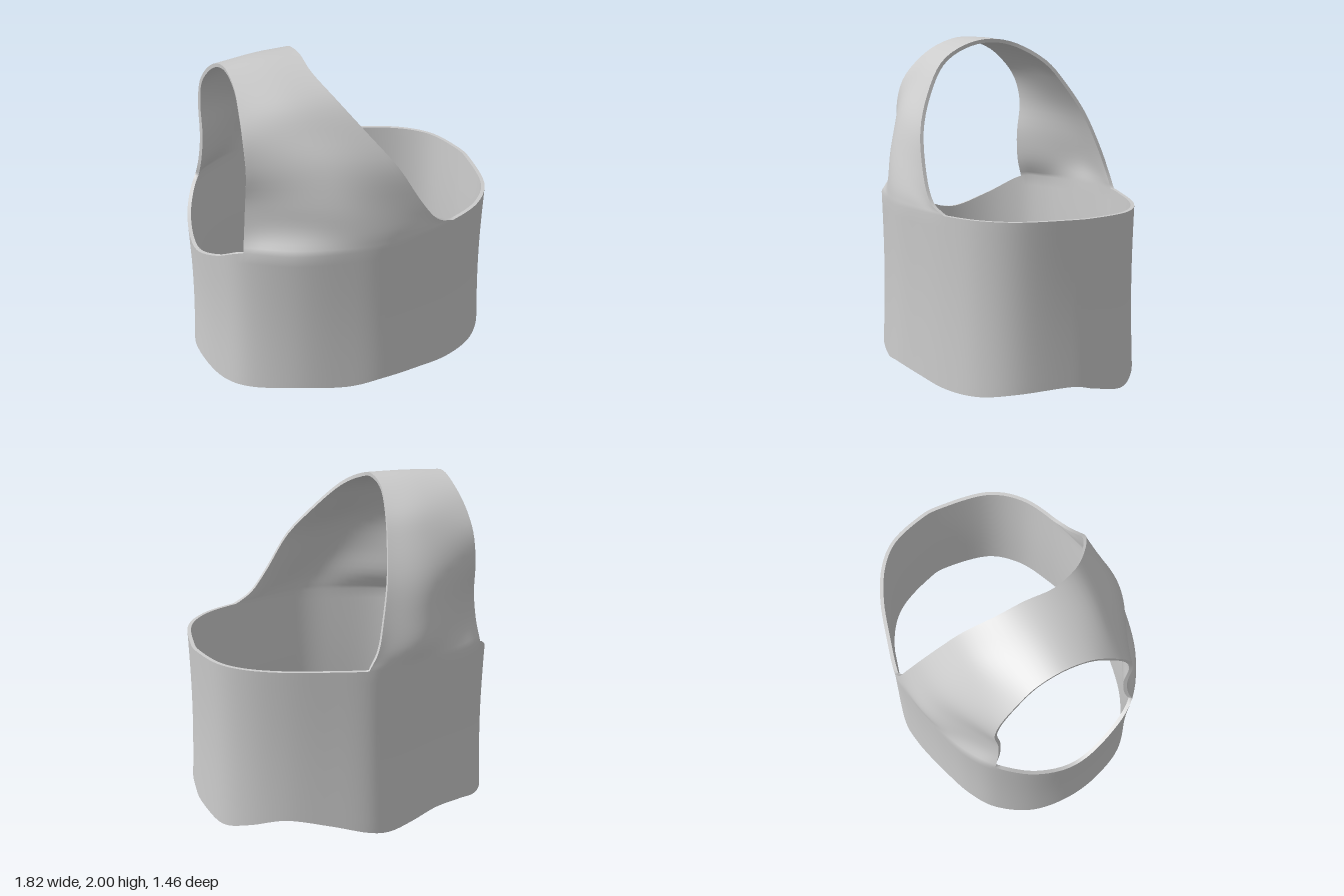
import * as THREE from 'three';
import { mergeVertices } from 'three/addons/utils/BufferGeometryUtils.js';

const V = (x, y, z) => new THREE.Vector3(x, y, z);
const spline = (pts, closed = false) => new THREE.CatmullRomCurve3(pts, closed, 'catmullrom', 0.5);

const STEP = 6;        // columns per outline span
const BODY_ROWS = 14;
const STRAP_ROWS = 56;
const THICKNESS = 0.022;

// Body outline, anticlockwise seen from below: x, z, hem height, rim height
const OUTLINE = [
  [0.91, 0, 0.10, 1.06], [0.86, 0.30, 0.08, 1.06], [0.72, 0.49, 0.05, 1.06],
  // front strap root: 3 to 8
  [0.50, 0.605, 0.05, 1.06], [0.25, 0.68, 0.085, 1.06], [0.03, 0.725, 0.11, 1.06],
  [-0.20, 0.70, 0.09, 1.06], [-0.50, 0.62, 0.11, 1.06], [-0.75, 0.46, 0.08, 1.05],
  // low sill
  [-0.86, 0.25, 0.04, 0.93], [-0.91, 0, 0.05, 0.85], [-0.87, -0.25, 0.005, 0.93],
  // back strap root: 12 to 17
  [-0.75, -0.46, 0.04, 1.05], [-0.60, -0.575, 0.08, 1.06], [-0.42, -0.645, 0.085, 1.06],
  [-0.25, -0.69, 0.04, 1.06], [-0.10, -0.72, 0.01, 1.06], [0.04, -0.73, 0.03, 1.06],
  [0.25, -0.68, 0.08, 1.06], [0.50, -0.605, 0.12, 1.06], [0.70, -0.50, 0.07, 1.06],
  [0.83, -0.36, 0.03, 1.06], [0.90, -0.15, 0.07, 1.06],
];

// Strap sections from front to back: right edge, middle, left edge
const SECTIONS = [
  [V(0.38, 1.12, 0.64), V(-0.12, 1.18, 0.705), V(-0.73, 1.18, 0.43)],
  [V(0.27, 1.27, 0.64), V(-0.20, 1.35, 0.66), V(-0.715, 1.35, 0.42)],
  [V(0.14, 1.50, 0.605), V(-0.25, 1.56, 0.585), V(-0.71, 1.55, 0.44)],
  [V(-0.01, 1.70, 0.50), V(-0.33, 1.72, 0.475), V(-0.705, 1.72, 0.40)],
  [V(-0.14, 1.87, 0.36), V(-0.40, 1.865, 0.35), V(-0.69, 1.85, 0.30)],
  [V(-0.215, 1.965, 0.18), V(-0.43, 1.96, 0.18), V(-0.67, 1.945, 0.17)],
  [V(-0.22, 2.00, 0), V(-0.44, 2.00, 0), V(-0.665, 1.99, 0)],
  [V(-0.215, 1.965, -0.18), V(-0.43, 1.96, -0.18), V(-0.67, 1.945, -0.17)],
  [V(-0.18, 1.86, -0.36), V(-0.40, 1.86, -0.355), V(-0.69, 1.85, -0.30)],
  [V(-0.15, 1.72, -0.48), V(-0.38, 1.72, -0.47), V(-0.705, 1.72, -0.40)],
  [V(-0.11, 1.53, -0.60), V(-0.38, 1.54, -0.57), V(-0.71, 1.55, -0.44)],
  [V(-0.06, 1.32, -0.68), V(-0.36, 1.34, -0.63), V(-0.715, 1.35, -0.42)],
  [V(-0.02, 1.17, -0.72), V(-0.35, 1.18, -0.67), V(-0.73, 1.18, -0.43)],
];

// Adds a sheet of columns (each a list of points) to the vertex and face lists
function addSheet(columns, positions, faces) {
  const rows = columns[0].length;
  const start = positions.length / 3;
  columns.forEach(col => col.forEach(p => positions.push(p.x, p.y, p.z)));
  for (let i = 0; i < columns.length - 1; i++) {
    for (let j = 0; j < rows - 1; j++) {
      const a = start + i * rows + j, b = a + rows;
      faces.push(a, a + 1, b, b, a + 1, b + 1);
    }
  }
}

function makeGeometry(positions, faces) {
  const g = new THREE.BufferGeometry();
  g.setAttribute('position', new THREE.Float32BufferAttribute(positions, 3));
  g.setIndex(faces);
  return g;
}

function makeOuter() {
  const positions = [], faces = [];
  const hem = spline(OUTLINE.map(([x, z, low]) => V(x, low, z)), true);
  const rim = spline(OUTLINE.map(([x, z, , high]) => V(x, high, z)), true);
  const count = OUTLINE.length * STEP;
  const rimPoint = i => rim.getPoint((i % count) / count);

  // Body wall, slightly pinched at mid height
  const body = [];
  for (let i = 0; i <= count; i++) {
    const low = hem.getPoint((i % count) / count), high = rimPoint(i);
    body.push(Array.from({ length: BODY_ROWS + 1 }, (_, j) => {
      const t = j / BODY_ROWS, pinch = 1 - 0.014 * Math.sin(Math.PI * t);
      const p = low.clone().lerp(high, t);
      return V(p.x * pinch, p.y, p.z * pinch);
    }));
  }
  addSheet(body, positions, faces);

  // Strap, each column running from the front rim over the crown to the back rim
  const across = SECTIONS.map(s => spline(s));
  const width = 5 * STEP;
  const strap = [];
  for (let i = 0; i <= width; i++) {
    const path = across.map(c => c.getPoint(i / width));
    strap.push(spline([rimPoint(3 * STEP + i), ...path, rimPoint(17 * STEP - i)]).getPoints(STRAP_ROWS));
  }
  addSheet(strap, positions, faces);

  const g = mergeVertices(makeGeometry(positions, faces), 1e-4);
  g.computeVertexNormals();
  return g;
}

// Inner face: the outer face moved inwards and turned round
function makeInner(outer) {
  const p = outer.attributes.position, n = outer.attributes.normal, positions = [];
  for (let i = 0; i < p.count; i++) {
    positions.push(
      p.getX(i) - n.getX(i) * THICKNESS,
      p.getY(i) - n.getY(i) * THICKNESS,
      p.getZ(i) - n.getZ(i) * THICKNESS);
  }
  const g = makeGeometry(positions, Array.from(outer.index.array).reverse());
  g.computeVertexNormals();
  return g;
}

// Narrow band closing every open edge between the two faces
function makeEdges(outer, inner) {
  const idx = outer.index.array, n = outer.attributes.position.count;
  const edges = new Map();
  for (let f = 0; f < idx.length; f += 3) {
    for (let k = 0; k < 3; k++) {
      const a = idx[f + k], b = idx[f + (k + 1) % 3];
      edges.set(a * n + b, [a, b]);
    }
  }
  const positions = [...outer.attributes.position.array, ...inner.attributes.position.array];
  const faces = [];
  for (const [a, b] of edges.values()) {
    if (!edges.has(b * n + a)) faces.push(b, a, a + n, b, a + n, b + n);
  }
  const g = makeGeometry(positions, faces);
  g.computeVertexNormals();
  return g;
}

export function createModel() {
  const group = new THREE.Group();
  group.name = 'strappedSleeve';
  const material = new THREE.MeshStandardMaterial({ color: 0xcccccc, side: THREE.DoubleSide });
  const add = (name, geometry) => {
    const mesh = new THREE.Mesh(geometry, material);
    mesh.name = name;
    group.add(mesh);
  };
  const outer = makeOuter(), inner = makeInner(outer);
  add('outerShell', outer);
  add('innerLining', inner);
  add('rimEdges', makeEdges(outer, inner));
  return group;
}
